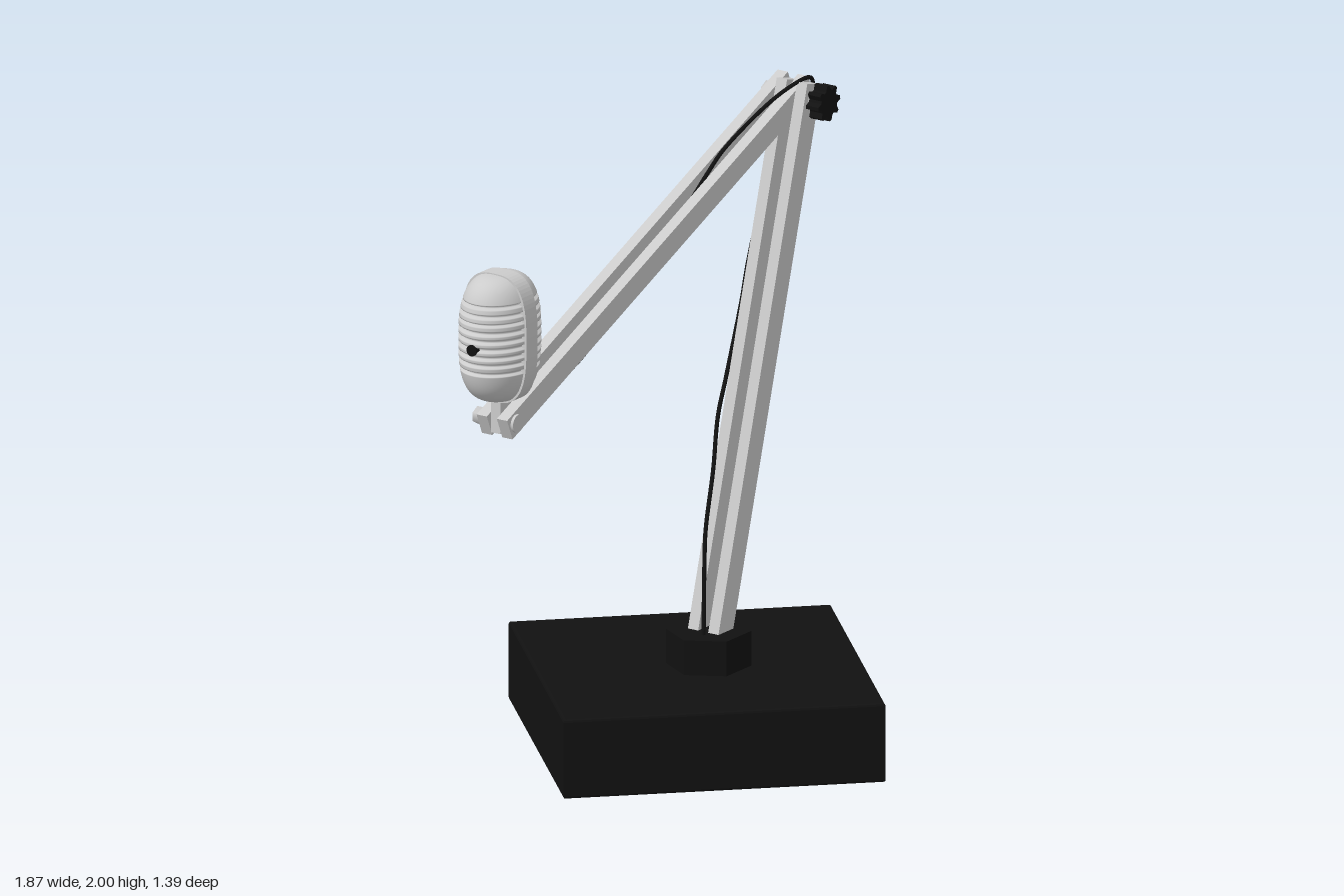
import * as THREE from 'three';

const grey = new THREE.MeshStandardMaterial({ color: 0xcccccc });
const black = new THREE.MeshStandardMaterial({ color: 0x111111 });
const MIC = { x: -0.79, y: 1.56, z: -0.003, h: 0.2 };

function add(parent, name, geometry, material, x = 0, y = 0, z = 0) {
  const mesh = new THREE.Mesh(geometry, material);
  mesh.name = name;
  mesh.position.set(x, y, z);
  parent.add(mesh);
  return mesh;
}

// Flat bar in the xy plane from a to b, overshooting each end
function bar(parent, name, a, b, startExtra, endExtra, width, z) {
  const dx = b[0] - a[0], dy = b[1] - a[1], len = Math.hypot(dx, dy);
  const mid = (len + endExtra - startExtra) / 2 / len;
  const geo = new THREE.BoxGeometry(len + startExtra + endExtra, width, 0.038);
  add(parent, name, geo, grey, a[0] + dx * mid, a[1] + dy * mid, z).rotation.z = Math.atan2(dy, dx);
}

// Cylinder lying along z between z0 and z1
function pin(parent, name, r, sides, [x, y], z0, z1) {
  const geo = new THREE.CylinderGeometry(r, r, z1 - z0, sides);
  add(parent, name, geo, grey, x, y, (z0 + z1) / 2).rotation.x = Math.PI / 2;
}

// Rounded-capsule radius at relative height t in -1..1
const capsule = (t, r) => r * Math.pow(Math.max(0, 1 - Math.abs(t) ** 2.9), 1 / 2.9);

function microphone() {
  const g = new THREE.Group();
  g.name = 'microphone';
  g.position.set(MIC.x, MIC.y, MIC.z);

  // Ribbed capsule body, oval in plan
  const profile = [], n = 170;
  for (let i = 0; i <= n; i++) {
    const t = -Math.cos(Math.PI * i / n), y = t * MIC.h;
    let r = capsule(t, 0.145);
    const slot = (y + 0.09) / 0.026;
    if (slot >= 0 && slot < 9 && slot % 1 < 0.36) r -= 0.013;
    profile.push(new THREE.Vector2(r, y));
  }
  add(g, 'grille', new THREE.LatheGeometry(profile, 64), grey).scale.z = 0.79;

  // Central strap running over the front, top and back
  const outline = [];
  for (let i = 0; i < 80; i++) {
    const a = i / 80 * Math.PI * 2, t = Math.sin(a);
    outline.push(new THREE.Vector2(Math.sign(Math.cos(a)) * capsule(t, 0.119), t * 0.203));
  }
  const strapGeo = new THREE.ExtrudeGeometry(new THREE.Shape(outline), { depth: 0.058, bevelEnabled: false });
  strapGeo.translate(0, 0, -0.029);
  add(g, 'strap', strapGeo, grey).rotation.y = Math.PI / 2;

  // Side switch and stem
  add(g, 'switch', new THREE.CylinderGeometry(0.018, 0.018, 0.02, 16), black, -0.139, -0.01, 0).rotation.z = Math.PI / 2;
  add(g, 'stem', new THREE.BoxGeometry(0.045, 0.14, 0.035), grey, 0, -0.235, 0);
  return g;
}

export function createModel() {
  const model = new THREE.Group();
  const foot = [0.235, 0.3], elbow = [0.7, 1.93], tip = [-0.785, 1.29];

  // Base turned corner-forward, with small bevels
  const s = 0.485, square = new THREE.Shape();
  square.moveTo(-s, -s).lineTo(s, -s).lineTo(s, s).lineTo(-s, s).closePath();
  const baseGeo = new THREE.ExtrudeGeometry(square, {
    depth: 0.234, bevelSize: 0.008, bevelThickness: 0.008, bevelSegments: 2,
  });
  baseGeo.rotateX(-Math.PI / 2).rotateY(Math.PI / 4);
  add(model, 'base', baseGeo, black, 0.235, 0.008, 0);

  // Hexagonal socket for the lower arm
  const socketGeo = new THREE.CylinderGeometry(0.13, 0.13, 0.12, 6).rotateY(Math.PI / 6).toNonIndexed();
  socketGeo.computeVertexNormals();
  add(model, 'socket', socketGeo, black, 0.24, 0.3, 0.039);

  // Paired arm bars, interleaved at the elbow
  for (const z of [0.0, 0.075]) bar(model, 'lowerArm', foot, elbow, 0, 0.047, 0.075, z);
  for (const z of [-0.041, 0.034]) bar(model, 'upperArm', tip, elbow, 0.035, 0.058, 0.072, z);

  // Joint bolts with hex heads
  pin(model, 'elbowBolt', 0.018, 20, elbow, -0.07, 0.12);
  pin(model, 'elbowNut', 0.03, 6, elbow, -0.075, -0.06);
  pin(model, 'tipBolt', 0.018, 20, tip, -0.09, 0.06);
  pin(model, 'tipWasher', 0.028, 24, tip, 0.05, 0.062);
  pin(model, 'tipNut', 0.028, 6, tip, -0.09, -0.06);

  // Lobed tightening knob
  const lobes = [];
  for (let i = 0; i < 32; i++) {
    const a = i / 32 * Math.PI * 2, r = i % 4 < 2 ? 0.057 : 0.042;
    lobes.push(new THREE.Vector2(Math.cos(a) * r, Math.sin(a) * r));
  }
  const knobGeo = new THREE.ExtrudeGeometry(new THREE.Shape(lobes), { depth: 0.046, bevelEnabled: false });
  add(model, 'knob', knobGeo, black, elbow[0], elbow[1], 0.113);

  model.add(microphone());

  // Cable weaving along both arms
  const path = [
    [0.19, 0.33, 0.055], [0.195, 0.58, 0.055], [0.215, 0.68, 0.045], [0.29, 0.85, 0.02],
    [0.35, 1.0, -0.005], [0.42, 1.1, -0.025], [0.55, 1.3, -0.06], [0.61, 1.42, -0.075],
    [0.7, 1.57, -0.088], [0.765, 1.75, -0.03], [0.78, 1.9, 0.03], [0.76, 1.965, 0.055],
    [0.72, 1.99, 0.065], [0.6, 1.955, 0.035], [0.4, 1.835, -0.015], [0.3, 1.78, -0.01],
    [0.2, 1.72, -0.003], [-0.05, 1.56, -0.02], [-0.27, 1.36, -0.052], [-0.42, 1.28, -0.075],
    [-0.6, 1.248, -0.06], [-0.73, 1.265, -0.03], [-0.785, 1.29, -0.005],
  ].map(p => new THREE.Vector3(...p));
  add(model, 'cable', new THREE.TubeGeometry(new THREE.CatmullRomCurve3(path), 200, 0.0065, 8), black);

  return model;
}
